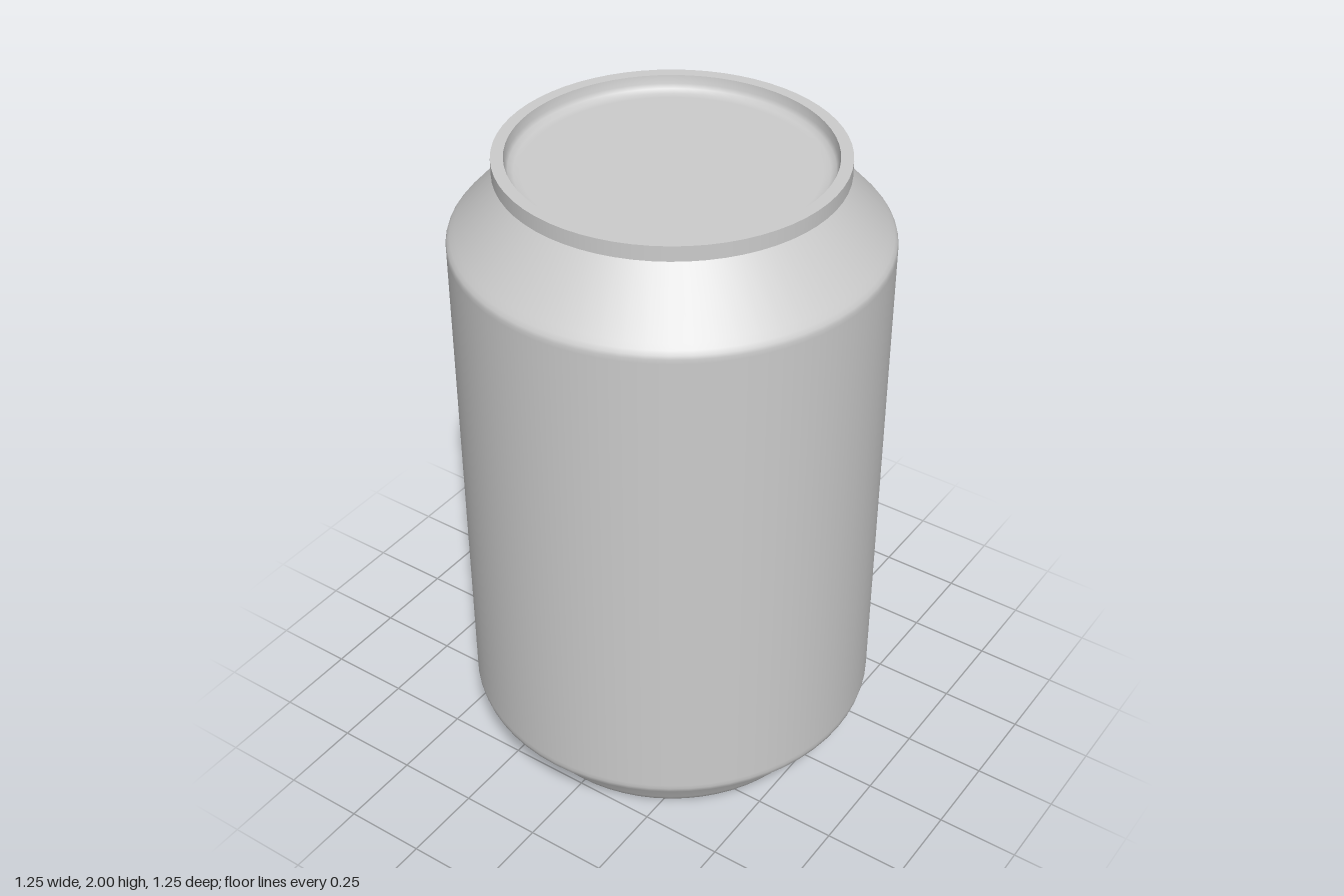
import * as THREE from 'three';

const material = new THREE.MeshStandardMaterial({ color: 0xcccccc });

// Revolve one profile of [radius, height] points; edges between separate profiles stay sharp
function revolve(name, points) {
  const profile = points.map(([r, y]) => new THREE.Vector2(r, y));
  const mesh = new THREE.Mesh(new THREE.LatheGeometry(profile, 64), material);
  mesh.name = name;
  return mesh;
}

export function createModel() {
  const can = new THREE.Group();
  can.name = 'drinkCan';

  // Underside: flat floor, recess wall and standing ring
  const base = new THREE.Group();
  base.name = 'base';
  base.add(
    revolve('baseFloor', [[0, 0.08], [0.41, 0.08]]),
    revolve('baseRecessWall', [[0.41, 0.08], [0.41, 0.005]]),
    revolve('standingRing', [
      [0.41, 0.005], [0.415, 0], [0.45, 0], [0.475, 0.006], [0.495, 0.018], [0.507, 0.034],
      [0.513, 0.046], [0.54, 0.097], [0.565, 0.137], [0.578, 0.15], [0.612, 0.173],
      [0.621, 0.182], [0.625, 0.197], [0.625, 0.21],
    ]),
  );

  // Straight wall, rounded shoulder and tapering neck
  const body = new THREE.Group();
  body.name = 'body';
  body.add(
    revolve('wall', [[0.625, 0.21], [0.625, 1.735]]),
    revolve('shoulder', [
      [0.625, 1.735], [0.625, 1.748], [0.622, 1.758], [0.614, 1.769], [0.6, 1.784],
      [0.46, 1.936], [0.443, 1.955],
    ]),
  );

  // Rolled rim with a shallow recessed lid
  const top = new THREE.Group();
  top.name = 'top';
  top.add(
    revolve('rimUnderside', [[0.443, 1.955], [0.49, 1.955]]),
    revolve('rimOuterWall', [[0.49, 1.955], [0.49, 2]]),
    revolve('rimTop', [[0.49, 2], [0.455, 2]]),
    revolve('lid', [
      [0.455, 2], [0.452, 1.975], [0.445, 1.962], [0.43, 1.954], [0.41, 1.952], [0, 1.952],
    ]),
  );

  can.add(base, body, top);
  return can;
}
